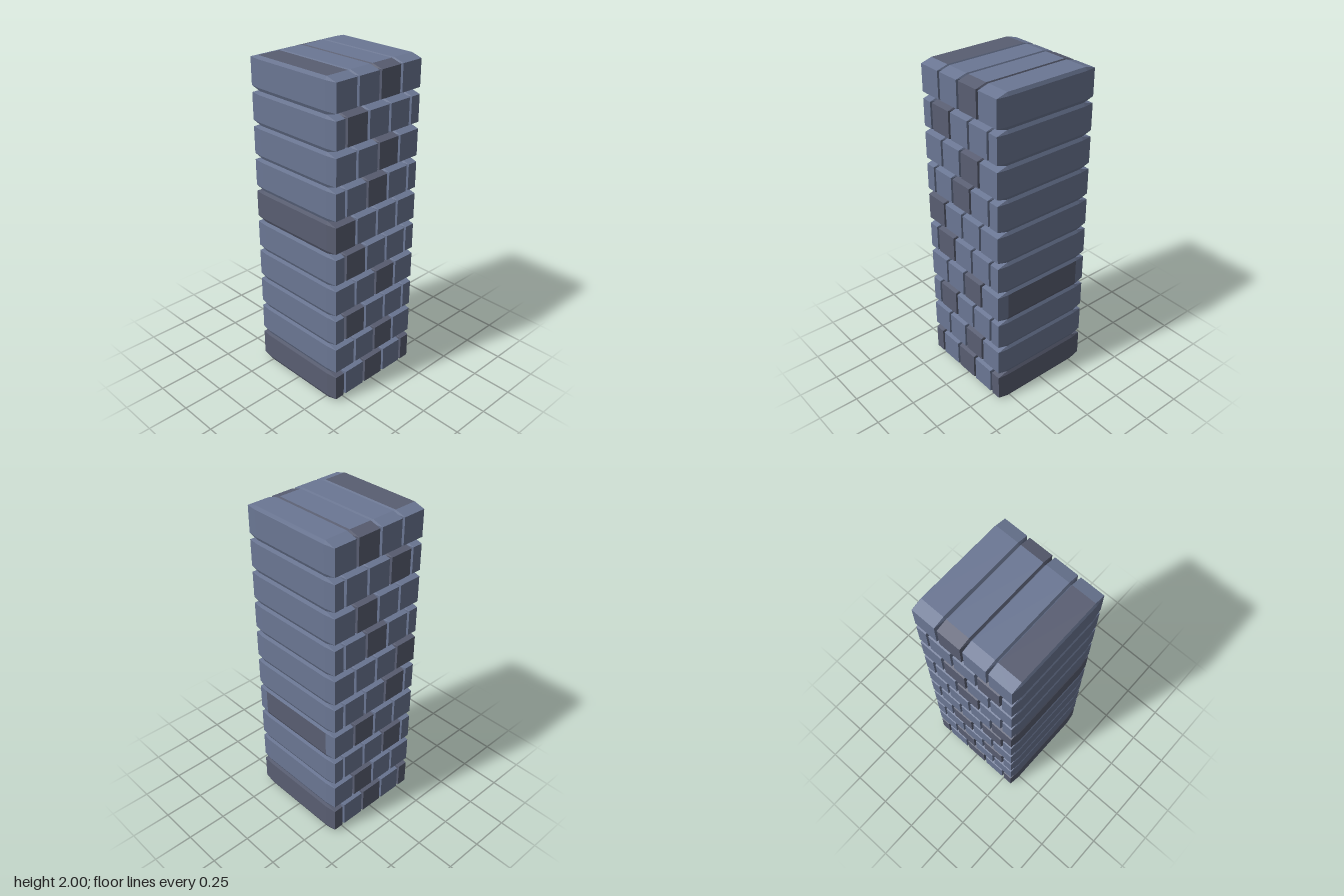
import * as THREE from 'three';
import { ConvexGeometry } from 'three/addons/geometries/ConvexGeometry.js';

const ROWS = 10, ROW_H = 0.2, BRICK_W = 0.1635, DEPTH = 0.666;
const BEVEL = { x: 0.009, y: 0.02, z: 0.068 };

// Box with chamfered edges: three points around every corner
function brickGeometry(width) {
  const hx = width / 2, hy = ROW_H / 2, hz = DEPTH / 2;
  const ix = hx - BEVEL.x, iy = hy - BEVEL.y, iz = hz - BEVEL.z;
  const points = [];
  for (const sx of [-1, 1]) for (const sy of [-1, 1]) for (const sz of [-1, 1]) {
    points.push(
      new THREE.Vector3(sx * hx, sy * iy, sz * iz),
      new THREE.Vector3(sx * ix, sy * hy, sz * iz),
      new THREE.Vector3(sx * ix, sy * iy, sz * hz));
  }
  return new ConvexGeometry(points);
}

// Gives the second material to the triangles whose normal passes the test
function paintFaces(geometry, test) {
  const normal = geometry.attributes.normal;
  for (let i = 0; i < normal.count; i += 3) {
    const n = new THREE.Vector3().fromBufferAttribute(normal, i);
    geometry.addGroup(i, 3, test(n) ? 1 : 0);
  }
}

export function createModel() {
  const light = new THREE.MeshStandardMaterial({ color: 0x6b7794, flatShading: true });
  const dark = new THREE.MeshStandardMaterial({ color: 0x595e72, flatShading: true });

  // Dark bricks of each row, bottom to top
  const darkBricks = [[0, 2, 4], [2], [1], [2], [1], [0], [2], [2], [1], [2]];
  const isTop = (n) => n.y > 0.99;
  const isRightSide = (n) => n.x > 0.8 && n.y < 0.1 && Math.abs(n.z) < 0.05;
  // Bricks with a few faces in the other shade
  const mixed = {
    '3-3': [light, dark, isRightSide],
    '9-0': [light, dark, isTop],
    '9-2': [dark, light, isTop],
  };

  const tower = new THREE.Group();
  tower.name = 'brickTower';

  for (let row = 0; row < ROWS; row++) {
    const course = new THREE.Group();
    course.name = `course${row + 1}`;
    course.position.y = (row + 0.5) * ROW_H;

    // Even rows start and end with a half brick
    const widths = row % 2 ? [1, 1, 1, 1] : [0.5, 1, 1, 1, 0.5];
    let x = -2 * BRICK_W;
    widths.forEach((share, i) => {
      const width = share * BRICK_W;
      const geometry = brickGeometry(width);
      let material = darkBricks[row].includes(i) ? dark : light;
      const mix = mixed[`${row}-${i}`];
      if (mix) {
        paintFaces(geometry, mix[2]);
        material = [mix[0], mix[1]];
      }
      const brick = new THREE.Mesh(geometry, material);
      brick.name = share < 1 ? 'halfBrick' : 'brick';
      brick.position.x = x + width / 2;
      course.add(brick);
      x += width;
    });
    tower.add(course);
  }
  return tower;
}
